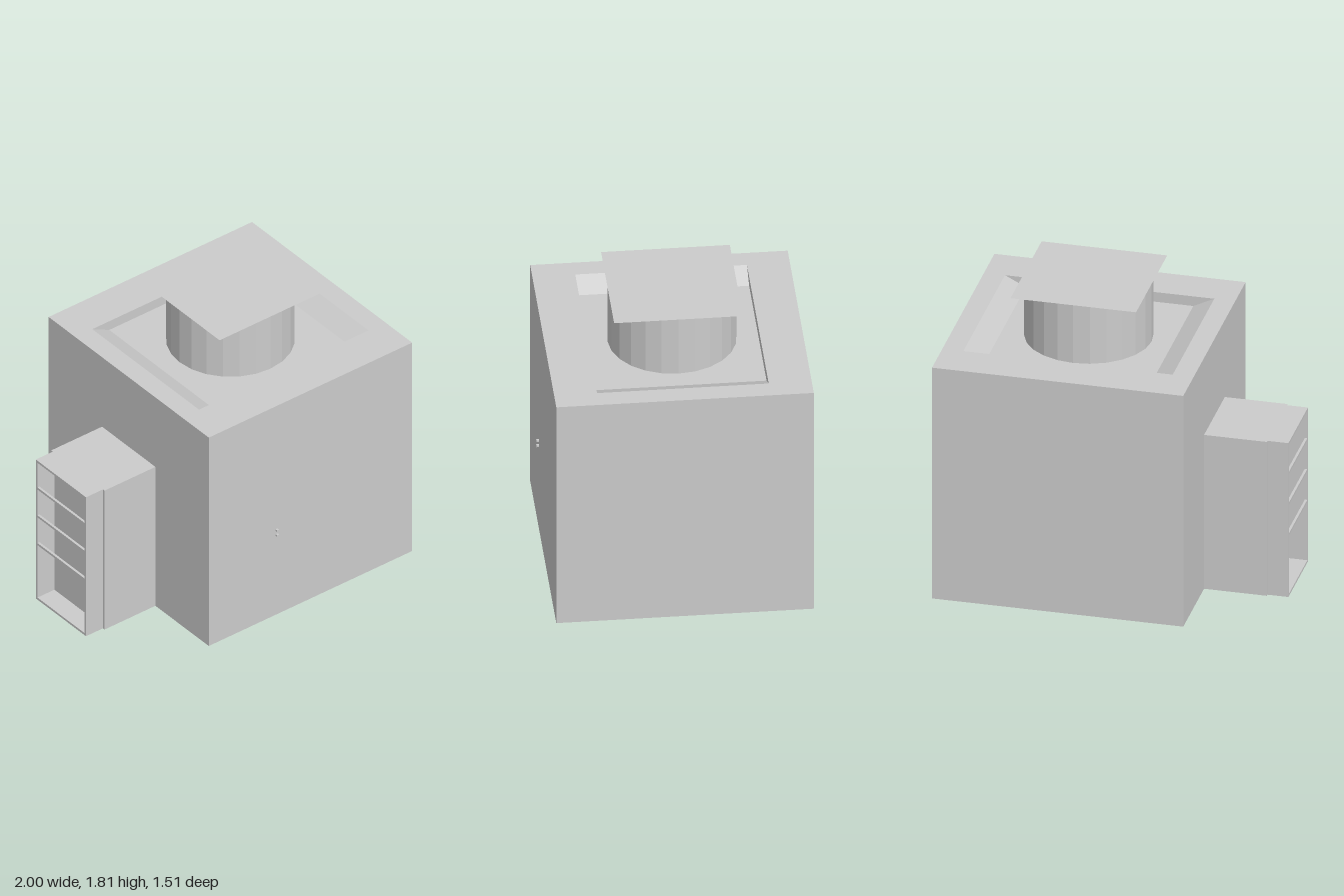
import * as THREE from 'three';

export function createModel() {
  const model = new THREE.Group();
  const zMid = -0.0075; // everything but the front studs is centred on this plane
  const grey = new THREE.MeshStandardMaterial({ color: 0xcccccc, flatShading: true });
  const thin = new THREE.MeshStandardMaterial({ color: 0xcccccc, flatShading: true, side: THREE.DoubleSide });

  function add(name, geometry, x, y, z, material = grey, parent = model) {
    const mesh = new THREE.Mesh(geometry, material);
    mesh.name = name;
    mesh.position.set(x, y, z);
    parent.add(mesh);
    return mesh;
  }
  // Box given by its lower and upper corners
  function box(name, [x0, y0, z0], [x1, y1, z1], parent) {
    return add(name, new THREE.BoxGeometry(x1 - x0, y1 - y0, z1 - z0),
      (x0 + x1) / 2, (y0 + y1) / 2, (z0 + z1) / 2, grey, parent);
  }

  // Housing: a middle slice with a shallow sloped recess in its top, between two plain slabs
  const housing = new THREE.Group();
  housing.name = 'housing';
  model.add(housing);
  const profile = new THREE.Shape([
    [-0.5, 0], [1, 0], [1, 1.5], [0.875, 1.5], [0.75, 1.4375],
    [-0.25, 1.4375], [-0.375, 1.5], [-0.5, 1.5],
  ].map(([x, y]) => new THREE.Vector2(x, y)));
  add('recessedBody', new THREE.ExtrudeGeometry(profile, { depth: 1, bevelEnabled: false }),
    0, 0, zMid - 0.5, grey, housing);
  box('frontSlab', [-0.5, 0, zMid + 0.5], [1, 1.5, zMid + 0.75], housing);
  box('backSlab', [-0.5, 0, zMid - 0.75], [1, 1.5, zMid - 0.5], housing);

  // Round outlet standing in the recess, with a thin square cover
  add('outletPipe', new THREE.CylinderGeometry(0.375, 0.375, 0.375, 24, 1, true), 0.25, 1.625, zMid, thin);
  const cover = add('outletCover', new THREE.PlaneGeometry(0.75, 0.75), 0.25, 1.8125, zMid, thin);
  cover.rotation.x = -Math.PI / 2;

  // Side duct ending in an open frame
  box('sideDuct', [-0.875, 0, zMid - 0.25], [-0.5, 1, zMid + 0.25]);
  const frame = new THREE.Group();
  frame.name = 'inletFrame';
  model.add(frame);
  const w = 0.235, t = 0.015;
  box('frameTop', [-1, 1 - t, zMid - w], [-0.875, 1, zMid + w], frame);
  box('frameBottom', [-1, 0, zMid - w], [-0.875, t, zMid + w], frame);
  for (const s of [-1, 1]) {
    const a = zMid + s * w, b = zMid + s * (w - t);
    box('frameSide', [-1, t, Math.min(a, b)], [-0.875, 1 - t, Math.max(a, b)], frame);
  }

  // Three thin bars across the opening
  for (const y of [0.4, 0.6, 0.8]) {
    box('inletBar', [-1, y - 0.0075, zMid - w + t], [-0.985, y + 0.0075, zMid + w - t], frame);
  }

  // Two small studs on the front face
  for (const y of [0.575, 0.61]) {
    box('frontStud', [-0.0075, y - 0.006, zMid + 0.75], [0.0075, y + 0.006, zMid + 0.765]);
  }

  return model;
}
